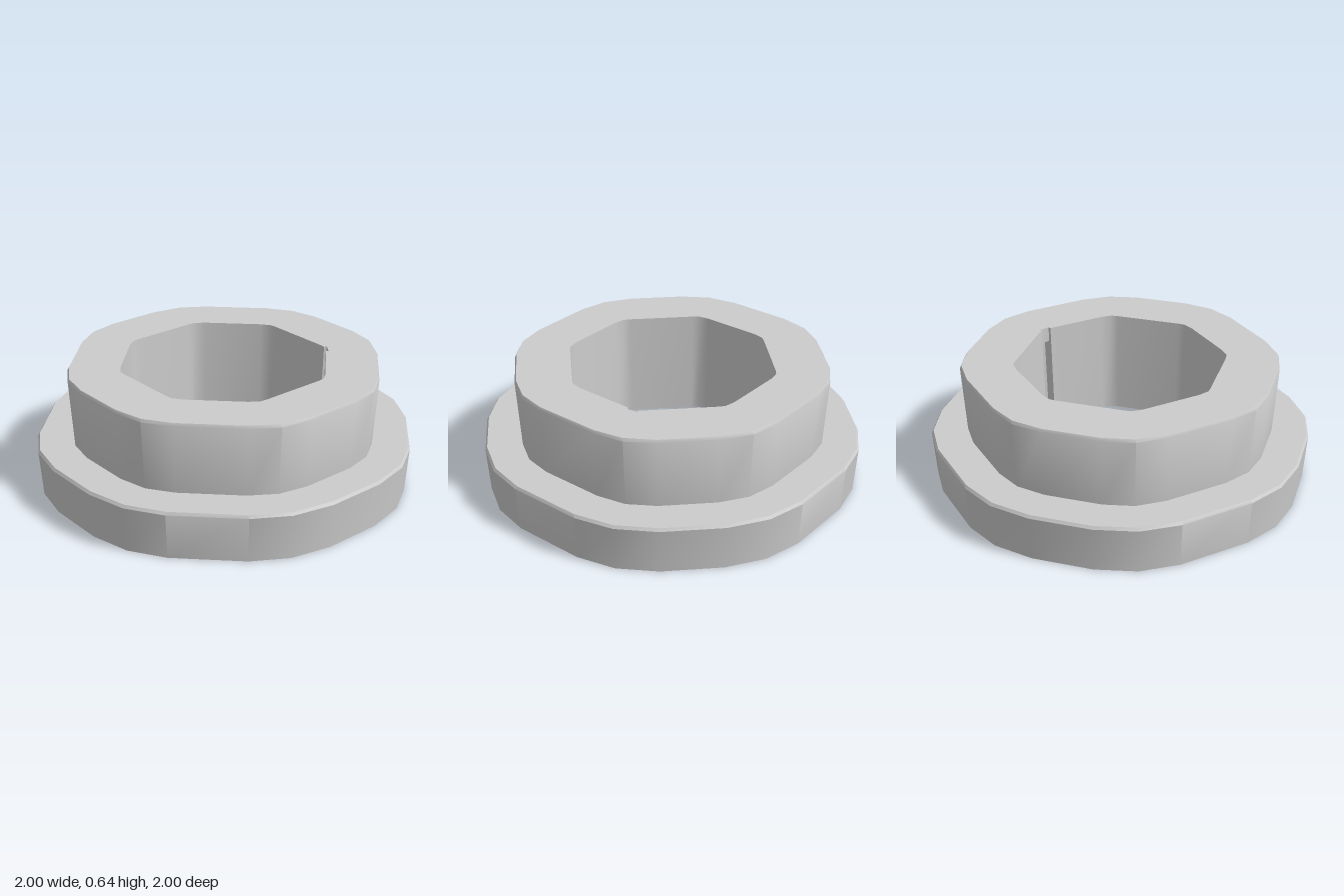
import * as THREE from 'three';
import { toCreasedNormals } from 'three/addons/utils/BufferGeometryUtils.js';

// Corner points of one quadrant at half-width 1; the rest follows by quarter turns.
const FLANGE = [[1, 0.2], [0.95, 0.41], [0.83, 0.6]];
const COLLAR = [[1, 0.22], [0.96, 0.415], [0.85, 0.585]];
const BORE = [[1, 0.3], [0.98, 0.41], [0.935, 0.465]];
const COUNT = 24;

// Closed 24-point outline, counter-clockwise seen from above.
function outline(corner, size, y) {
  const quadrant = [...corner, ...corner.map(([u, v]) => [v, u]).reverse()];
  const points = [];
  for (let k = 0; k < 4; k++) {
    const c = [1, 0, -1, 0][k], s = [0, 1, 0, -1][k];
    for (const [u, v] of quadrant) {
      points.push(new THREE.Vector3((u * c - v * s) * size, y, -(u * s + v * c) * size));
    }
  }
  return points;
}

// Sweeps a closed profile of [corner, size, y] around the axis, from segment `start`.
// A start above 0 leaves a slot, whose two ends are capped.
function loft(name, profile, start = 0) {
  const rings = profile.map(([corner, size, y]) => outline(corner, size, y));
  const pos = [];
  const tri = (...pts) => pts.forEach((p) => pos.push(p.x, p.y, p.z));
  rings.forEach((ring, i) => {
    const next = rings[(i + 1) % rings.length];
    for (let j = start; j < COUNT; j++) {
      const k = (j + 1) % COUNT;
      tri(ring[j], ring[k], next[k]);
      tri(ring[j], next[k], next[j]);
    }
  });
  if (start > 0) {
    for (let i = 1; i < rings.length - 1; i++) {
      tri(rings[0][start], rings[i][start], rings[i + 1][start]);
      tri(rings[0][0], rings[i + 1][0], rings[i][0]);
    }
  }
  const geometry = new THREE.BufferGeometry();
  geometry.setAttribute('position', new THREE.Float32BufferAttribute(pos, 3));
  const mesh = new THREE.Mesh(
    toCreasedNormals(geometry, 0.65),
    new THREE.MeshStandardMaterial({ color: 0xcccccc })
  );
  mesh.name = name;
  return mesh;
}

export function createModel() {
  const group = new THREE.Group();
  group.name = 'flangedCollar';

  // Flange and collar shell, hollow from below
  group.add(loft('flangeAndCollar', [
    [FLANGE, 0.985, 0],
    [FLANGE, 1, 0.245],
    [FLANGE, 0.99, 0.26],
    [COLLAR, 0.8, 0.26],
    [COLLAR, 0.82, 0.63],
    [COLLAR, 0.812, 0.645],
    [BORE, 0.555, 0.645],
    [BORE, 0.555, 0.56],
    [COLLAR, 0.715, 0.56],
    [COLLAR, 0.73, 0],
  ]));

  // Thin inner sleeve with a narrow slot down one side
  group.add(loft('slottedSleeve', [
    [BORE, 0.525, 0.06],
    [BORE, 0.575, 0.06],
    [BORE, 0.59, 0.56],
    [BORE, 0.555, 0.56],
    [BORE, 0.555, 0.645],
    [BORE, 0.54, 0.645],
  ], 1));

  return group;
}
